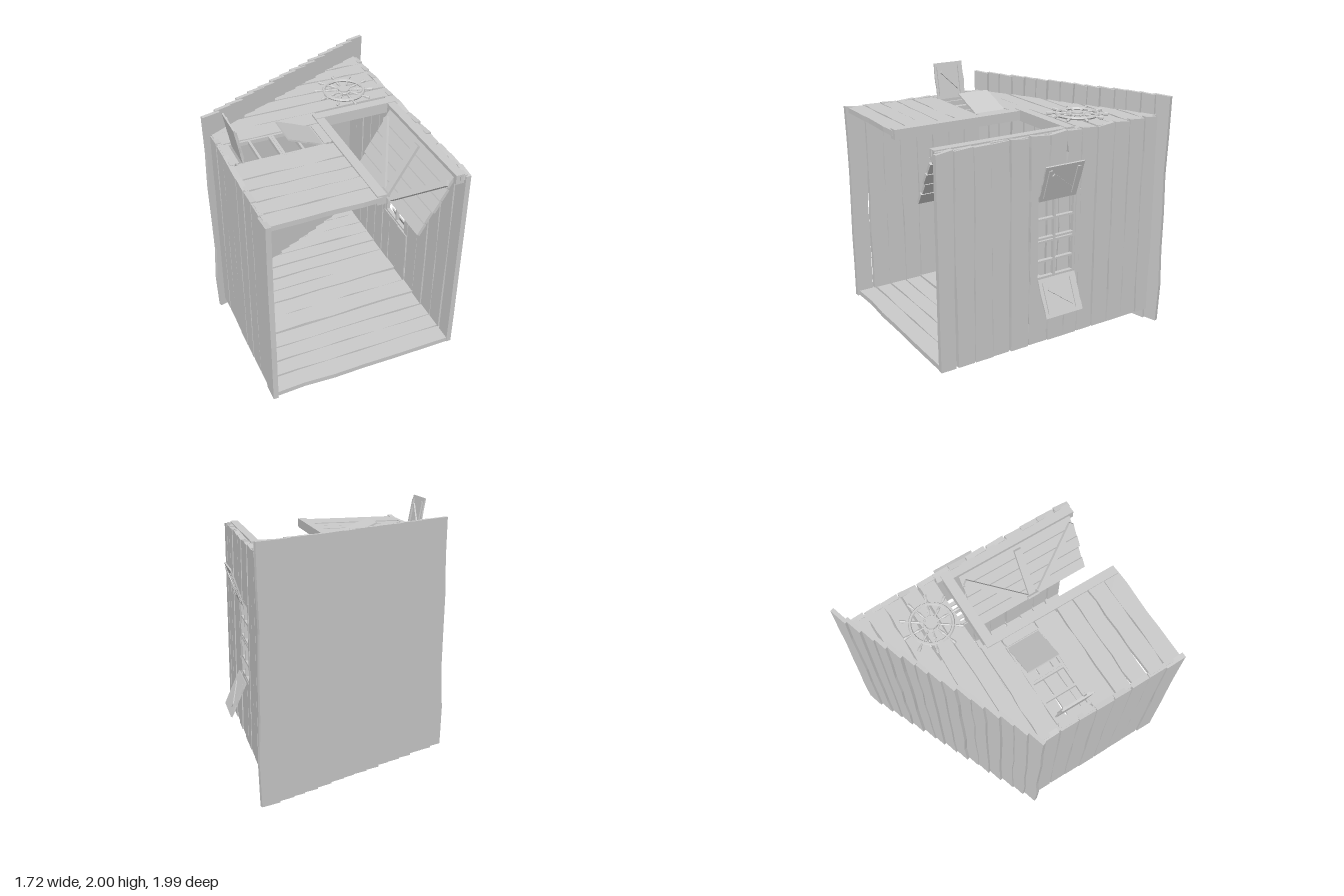
import * as THREE from 'three';

const X = new THREE.Vector3(1, 0, 0), Y = new THREE.Vector3(0, 1, 0), Z = new THREE.Vector3(0, 0, 1);
const vec = (x, y, z) => new THREE.Vector3(x, y, z);

export function createModel() {
  const mat = new THREE.MeshStandardMaterial({ color: 0xcccccc, flatShading: true });
  const model = new THREE.Group();
  let seed = 7;
  const rnd = () => {
    seed = (seed * 16807) % 2147483647;
    return seed / 2147483647 * 2 - 1;
  };

  const group = (name, parent = model) => {
    const g = new THREE.Group();
    g.name = name;
    parent.add(g);
    return g;
  };

  // group whose local x = u, y = v, z = u cross v
  const frame = (name, origin, u, v, parent) => {
    const g = group(name, parent);
    const a = u.clone().normalize(), w = a.clone().cross(v);
    g.quaternion.setFromRotationMatrix(new THREE.Matrix4().makeBasis(a, v, w));
    g.position.copy(origin);
    return g;
  };

  const box = (g, name, x0, x1, y0, y1, z0, z1) => {
    const m = new THREE.Mesh(new THREE.BoxGeometry(x1 - x0, y1 - y0, z1 - z0), mat);
    m.position.set((x0 + x1) / 2, (y0 + y1) / 2, (z0 + z1) / 2);
    m.name = name;
    g.add(m);
    return m;
  };

  // flat bar between two points in a group's local xy plane
  const bar = (g, name, a, b, width, z0, z1) => {
    const dx = b[0] - a[0], dy = b[1] - a[1], l = Math.hypot(dx, dy);
    const m = box(g, name, -l / 2, l / 2, -width / 2, width / 2, z0, z1);
    m.position.set((a[0] + b[0]) / 2, (a[1] + b[1]) / 2, (z0 + z1) / 2);
    m.rotation.z = Math.atan2(dy, dx);
  };

  // rough board: length from s to e (each [at v0, at v1]), wavy long edges
  const plank = (g, s, e, v0, v1, t, wave = 0.007, gap = 0.005) => {
    const n = 6, pts = [];
    for (let i = 0; i <= n; i++)
      pts.push([s[0] + (e[0] - s[0]) * i / n, v0 + gap + rnd() * wave]);
    for (let i = n; i >= 0; i--)
      pts.push([s[1] + (e[1] - s[1]) * i / n, v1 - gap + rnd() * wave]);
    const shape = new THREE.Shape(pts.map(p => new THREE.Vector2(...p)));
    const m = new THREE.Mesh(new THREE.ExtrudeGeometry(shape, { depth: t, bevelEnabled: false }), mat);
    m.position.z = rnd() * 0.005;
    m.name = 'plank';
    g.add(m);
  };

  // slanted upper edge of the end walls
  const slope = z => Math.max(-0.8, -0.8 - (z + 0.23) / 0.476);
  const rows = [-0.92, -0.78, -0.64, -0.49, -0.35, -0.21, -0.05, 0.23, 0.42, 0.56, 0.7, 0.84, 0.98];

  // end walls: local x = x, local y = z, local z = -y
  const rear = frame('rearWall', vec(0, 0.135, 0), X, Z);
  const front = frame('frontWall', vec(0, 1.725, 0), X, Z);
  const rearRows = [-0.92, -0.78, -0.64, -0.49, -0.35, -0.21, -0.07, 0.07, 0.23, 0.4, 0.55, 0.69, 0.83, 0.98];
  for (let i = 0; i < rearRows.length - 1; i++) {
    const a = rearRows[i], b = rearRows[i + 1], j = rnd() * 0.01;
    plank(rear, [slope(a), slope(b)], [0.68 + j, 0.68 + j], a, b, 0.04);
  }
  for (let i = 0; i < rows.length - 1; i++) {
    const a = rows[i], b = rows[i + 1], end = 0.68 + rnd() * 0.01;
    const s = [slope(a), slope(b)];
    if (b < -0.2) plank(front, s, [end, end], a, b, 0.04);
    else {
      if (a === -0.05) { // beside the window
        plank(front, s, [-0.73, -0.73], a, b, 0.04);
        plank(front, [-0.08, -0.08], [0.02, 0.02], a, b, 0.04);
      } else plank(front, s, [0.02, 0.02], a, b, 0.04);
      plank(front, [0.62, 0.62], [end, end], a, b, 0.04);
    }
  }

  // side walls: local x = y, local y = z, local z = x
  const left = frame('leftWall', vec(-0.815, 0, 0), Y, Z);
  for (let i = 0; i < 8; i++) {
    const a = -0.21 + i * 0.151, j = rnd() * 0.01;
    plank(left, [0.095, 0.095], [1.725 + j, 1.725 - j], a, a + 0.151, 0.04);
  }
  const right = frame('rightWall', vec(0.66, 0, 0), Y, Z);
  const sideZ = [-0.92, -0.79, -0.645, -0.5, -0.345, -0.205, -0.075, 0.075, 0.245, 0.405, 0.555, 0.7, 0.855, 0.99];
  for (let i = 0; i < sideZ.length - 1; i++) {
    const a = sideZ[i], b = sideZ[i + 1], j = rnd() * 0.01;
    if (a > -0.21 && b < 0.25) { // above and below the window
      plank(right, [0.095, 0.095], [0.62, 0.62], a, b, 0.04);
      plank(right, [1.25, 1.25], [1.725 + j, 1.725 - j], a, b, 0.04);
    } else plank(right, [0.095, 0.095], [1.725 + j, 1.725 - j], a, b, 0.04);
  }
  plank(right, [0.6, 0.6], [1.27, 1.27], -0.21, -0.16, 0.04, 0.003);
  plank(right, [0.6, 0.6], [1.27, 1.27], 0.18, 0.24, 0.04, 0.003);

  // overlapping roof boards
  const roof = group('roof');
  for (let i = 0; i < 15; i++) {
    const b = frame('roofBoard', vec(-0.85 + i * 0.1057, 0, -0.215 - i * 0.0505), Y, vec(0.96, 0, -0.28).normalize(), roof);
    const j = Math.abs(rnd()) * 0.008;
    plank(b, [j, 0], [1.88, 1.88 - j], 0, 0.145, 0.03, 0.011, 0);
  }

  // door frame
  const doorFrame = group('doorFrame');
  box(doorFrame, 'leftJamb', -0.015, 0.055, 1.66, 1.735, -0.1, 0.97);
  box(doorFrame, 'rightJamb', 0.59, 0.655, 1.66, 1.735, -0.1, 0.97);
  box(doorFrame, 'header', -0.015, 0.66, 1.655, 1.74, -0.165, -0.09);

  // door standing ajar, swung inward
  const door = frame('door', vec(0.6, 1.7, 0), vec(-0.52, -0.855, 0), Z);
  for (let i = 0; i < 5; i++)
    box(door, 'doorBoard', i * 0.102, i * 0.102 + 0.094, -0.04 + rnd() * 0.01, 0.945 + rnd() * 0.01, -0.012, 0.012);
  bar(door, 'upperBrace', [0.06, -0.02], [0.47, 0.4], 0.045, 0.012, 0.035);
  bar(door, 'lowerBrace', [0.47, 0.52], [0.06, 0.93], 0.045, 0.012, 0.035);
  box(door, 'crossBar', 0.03, 0.47, 0.42, 0.48, 0.012, 0.035);
  box(door, 'handle', 0.455, 0.475, 0.4, 0.5, -0.05, 0.055);

  // window lattices
  const frontWindow = group('frontWindow');
  for (const z of [-0.04, 0.23]) box(frontWindow, 'rail', -0.75, -0.07, 1.69, 1.72, z - 0.009, z + 0.009);
  for (const x of [-0.74, -0.57, -0.41, -0.24, -0.08])
    box(frontWindow, 'bar', x - 0.009, x + 0.009, 1.69, 1.72, -0.04, 0.23);
  box(frontWindow, 'mullion', -0.4, -0.38, 1.69, 1.72, -0.04, 0.23);
  const sideWindow = group('sideWindow');
  for (const z of [-0.155, 0.02, 0.175]) box(sideWindow, 'bar', 0.67, 0.7, 0.62, 1.25, z - 0.009, z + 0.009);
  for (const y of [0.63, 0.76, 0.915, 0.94, 1.09, 1.24])
    box(sideWindow, 'rail', 0.67, 0.7, y - 0.008, y + 0.008, -0.16, 0.18);

  // shutters: a panel with two battens and a diagonal on its local +z face
  const shutter = (name, origin, u, v, len, w) => {
    const g = frame(name, origin, u, v);
    plank(g, [0, 0], [len, len], -w / 2, w / 2, 0.012, 0.004, 0);
    for (const s of [-1, 1])
      box(g, 'batten', 0.03, len - 0.03, s * w * 0.37 - 0.014, s * w * 0.37 + 0.014, 0.01, 0.024);
    bar(g, 'diagonal', [0.08, -w * 0.28], [len - 0.07, w * 0.28], 0.026, 0.01, 0.024);
  };
  const back = Z.clone().negate();
  shutter('upperSideShutter', vec(0.715, 1.25, 0.02), vec(0.09, 0.28, 0), Z, 0.295, 0.33);
  shutter('lowerSideShutter', vec(0.715, 0.63, 0.02), vec(0.12, -0.27, 0), back, 0.295, 0.33);
  shutter('leftFrontShutter', vec(-0.705, 1.71, 0.1), vec(-0.055, 0.29, 0), Z, 0.295, 0.26);
  shutter('rightFrontShutter', vec(-0.075, 1.715, 0.09), vec(-0.28, 0.115, 0), back, 0.3, 0.26);

  // ship's wheel fixed to the front wall
  const wheel = group('wheel');
  wheel.position.set(0.36, 1.737, -0.41);
  wheel.rotation.x = -Math.PI / 2;
  const ring = (name, r, tube) => {
    const m = new THREE.Mesh(new THREE.TorusGeometry(r, tube, 6, 32), mat);
    m.name = name;
    wheel.add(m);
  };
  ring('rim', 0.158, 0.013);
  ring('hubRing', 0.055, 0.008);
  const hub = new THREE.Mesh(new THREE.CylinderGeometry(0.045, 0.045, 0.03, 16), mat);
  hub.rotation.x = Math.PI / 2;
  hub.name = 'hub';
  wheel.add(hub);
  const profile = [[0, 0.03], [0.007, 0.03], [0.007, 0.08], [0.012, 0.11], [0.007, 0.14], [0.007, 0.18],
    [0.013, 0.21], [0.012, 0.232], [0, 0.238]].map(p => new THREE.Vector2(...p));
  const spokeGeo = new THREE.LatheGeometry(profile, 6);
  for (let i = 0; i < 10; i++) {
    const s = new THREE.Mesh(spokeGeo, mat);
    s.rotation.z = i * Math.PI / 5;
    s.name = 'spoke';
    wheel.add(s);
  }

  return model;
}
